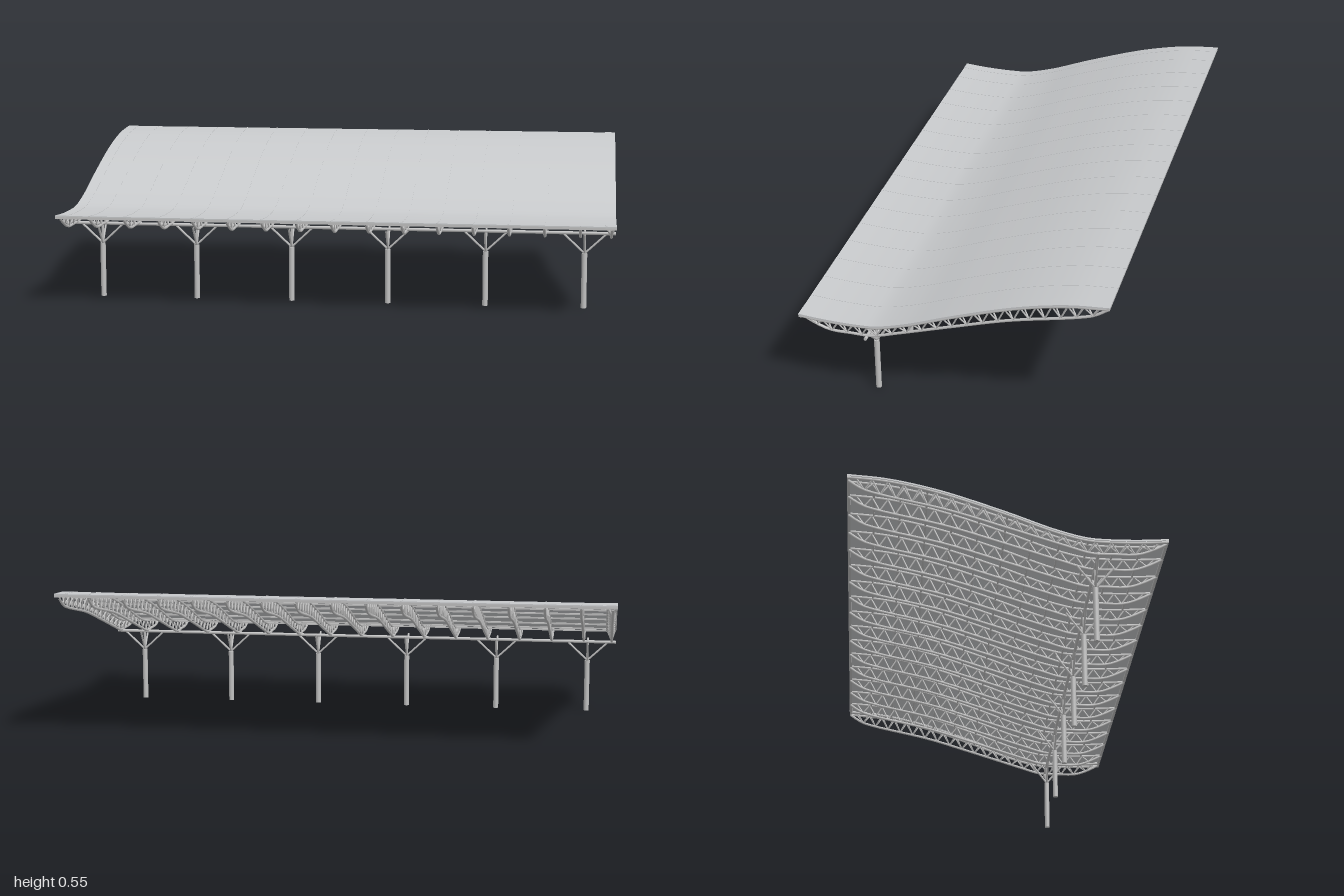
import * as THREE from 'three';
import { mergeGeometries, toCreasedNormals } from 'three/addons/utils/BufferGeometryUtils.js';

const V = (x, y, z) => new THREE.Vector3(x, y, z);

// Side profiles as [z, y]: roof surface and lower truss chord
const ROOF = [[0.543, 0.336], [0.48, 0.331], [0.41, 0.328], [0.33, 0.328], [0.27, 0.332], [0.163, 0.36],
  [0, 0.421], [-0.2, 0.489], [-0.32, 0.52], [-0.42, 0.538], [-0.543, 0.548]];
const LOWER = [[0.54, 0.327], [0.49, 0.3], [0.435, 0.281], [0.36, 0.28], [0.285, 0.281], [0.193, 0.308],
  [0, 0.369], [-0.2, 0.43], [-0.43, 0.482], [-0.49, 0.501], [-0.54, 0.535]];

// Turn a profile into a height function of z
function heightOf(points) {
  const pts = new THREE.CatmullRomCurve3(points.map(([z, y]) => V(0, y, z))).getPoints(200);
  return z => {
    let i = 1;
    while (i < pts.length - 1 && pts[i].z > z) i++;
    const a = pts[i - 1], b = pts[i];
    return a.y + (b.y - a.y) * (a.z - z) / (a.z - b.z);
  };
}
const roofY = heightOf(ROOF);
const lowerY = heightOf(LOWER);
const chordY = z => roofY(z) - 0.009;

// Straight bar between two points
function bar(a, b, r, sides = 5, open = true) {
  const d = b.clone().sub(a);
  const g = new THREE.CylinderGeometry(r, r, d.length(), sides, 1, open);
  g.applyQuaternion(new THREE.Quaternion().setFromUnitVectors(V(0, 1, 0), d.normalize()));
  return g.translate((a.x + b.x) / 2, (a.y + b.y) / 2, (a.z + b.z) / 2);
}

// Curved chord running front to back at a given x
function chord(x, yAt, r) {
  const pts = [];
  for (let i = 0; i <= 36; i++) {
    const z = 0.538 - 1.076 * i / 36;
    pts.push(V(x, yAt(z), z));
  }
  return new THREE.TubeGeometry(new THREE.CatmullRomCurve3(pts), 48, r, 6);
}

// Zigzag web between an upper and a lower chord
function web(xTop, xLow) {
  const bars = [], n = 38;
  for (let i = 0; i < n; i++) {
    const node = k => {
      const z = 0.51 - 1.02 * k / n;
      return k % 2 ? V(xLow, lowerY(z), z) : V(xTop, chordY(z), z);
    };
    bars.push(bar(node(i), node(i + 1), 0.003));
  }
  return bars;
}

// Curved sheet of constant thickness, extruded along x
function sheet(x0, x1, top, bottom) {
  const n = 64, s = new THREE.Shape();
  const z = i => 0.543 - 1.086 * i / n;
  for (let i = 0; i <= n; i++) s.lineTo ? (i ? s.lineTo(z(i), roofY(z(i)) + top) : s.moveTo(z(0), roofY(z(0)) + top)) : 0;
  for (let i = n; i >= 0; i--) s.lineTo(z(i), roofY(z(i)) + bottom);
  s.closePath();
  const g = new THREE.ExtrudeGeometry(s, { depth: x1 - x0, bevelEnabled: false });
  g.rotateY(-Math.PI / 2).translate(x1, 0, 0);
  return toCreasedNormals(g, 0.5);
}

export function createModel() {
  const model = new THREE.Group();
  model.name = 'canopy';
  const roofMat = new THREE.MeshStandardMaterial({ color: 0xc8cacc });
  roofMat.name = 'roof grey';
  const steelMat = new THREE.MeshStandardMaterial({ color: 0xc0c0c0 });
  steelMat.name = 'steel grey';
  const add = (name, geos, mat, parent = model) => {
    const m = new THREE.Mesh(mergeGeometries(geos.map(g => g.index ? g.toNonIndexed() : g)), mat);
    m.name = name;
    parent.add(m);
  };

  // Roof skin with edge strips and standing seams
  add('roofSkin', [sheet(-0.96, 0.96, 0, -0.004)], roofMat);
  add('roofEdgeStrips', [sheet(-1, -0.96, 0.001, -0.005), sheet(0.96, 1, 0.001, -0.005)], roofMat);
  const seams = [], trussX = [];
  for (let i = -7; i <= 7; i++) {
    trussX.push(i * 0.125);
    seams.push(sheet(i * 0.125 - 0.002, i * 0.125 + 0.002, 0.001, -0.003));
  }
  add('roofSeams', seams, roofMat);

  // Inner trusses under every seam
  const trusses = new THREE.Group();
  trusses.name = 'trusses';
  model.add(trusses);
  for (const x of trussX) {
    add('truss', [chord(x, chordY, 0.005), chord(x, lowerY, 0.005), ...web(x, x)], steelMat, trusses);
  }

  // End trusses with two upper chords meeting one lower chord
  for (const s of [-1, 1]) {
    const a = s * 0.965, b = s * 0.994, low = s * 0.983;
    add('endTruss', [chord(a, chordY, 0.005), chord(b, chordY, 0.005), chord(low, lowerY, 0.005),
      ...web(a, low), ...web(b, low)], steelMat, trusses);
  }

  // Purlins across the underside, and edge beams front and back
  const purlins = [];
  for (let i = 0; i < 11; i++) {
    const z = 0.45 - 0.09 * i;
    purlins.push(new THREE.BoxGeometry(1.98, 0.006, 0.006).translate(0, roofY(z) - 0.008, z));
  }
  add('purlins', purlins, steelMat);
  add('edgeBeams', [0.537, -0.537].map(z =>
    new THREE.BoxGeometry(2, 0.01, 0.01).translate(0, roofY(z) - 0.007, z)), steelMat);

  // Main beam along the post heads
  const postZ = 0.304;
  add('mainBeam', [bar(V(-1, 0.274, postZ), V(1, 0.274, postZ), 0.006, 8, false)], steelMat);

  // Posts with a slim neck and four spreading braces
  for (let i = 0; i < 6; i++) {
    const x = -0.89 + i * 0.356;
    const post = new THREE.Group();
    post.name = 'post';
    model.add(post);
    const head = V(x, 0.2, postZ);
    add('postShaft', [bar(V(x, 0, postZ), head, 0.01, 16, false)], steelMat, post);
    add('postNeck', [bar(head, V(x, 0.28, postZ), 0.0045, 8)], steelMat, post);
    add('postBraces', [
      bar(head, V(x - 0.075, 0.27, postZ), 0.004, 6), bar(head, V(x + 0.075, 0.27, postZ), 0.004, 6),
      bar(head, V(x, 0.278, 0.368), 0.004, 6), bar(head, V(x, 0.285, 0.242), 0.004, 6),
    ], steelMat, post);
  }
  return model;
}
